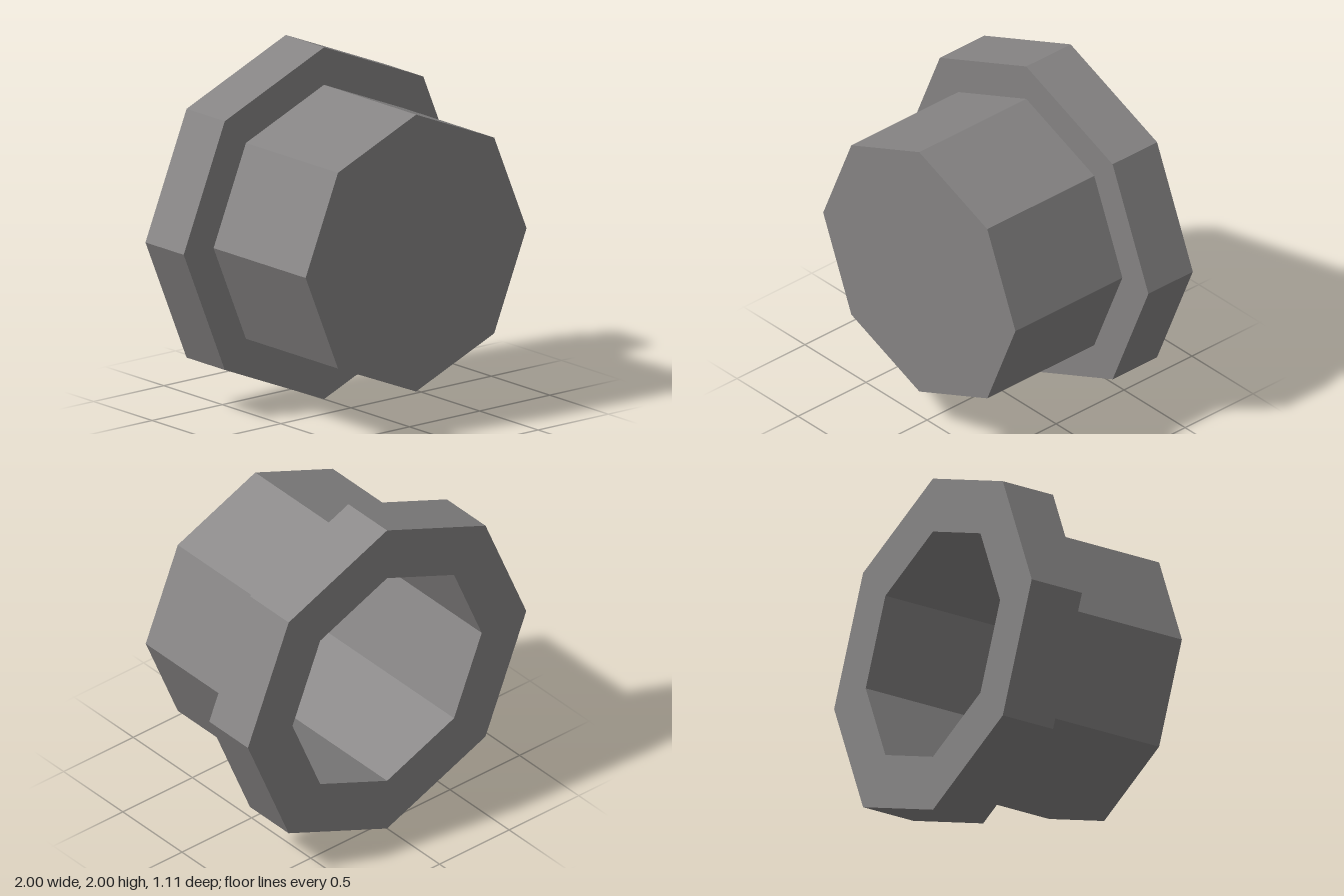
import * as THREE from 'three';

const SIDES = 8;
const CENTER_Y = 1;

// Corner points of a regular octagon with a corner pointing up
function octagon(radius) {
  return Array.from({ length: SIDES }, (_, i) => {
    const a = (i / SIDES) * Math.PI * 2;
    return new THREE.Vector2(Math.cos(a) * radius, Math.sin(a) * radius);
  });
}

// Octagonal prism from zBack to zFront, bored through when a hole radius is given
function prism(name, radius, holeRadius, zBack, zFront, material) {
  const shape = new THREE.Shape(octagon(radius));
  if (holeRadius > 0) shape.holes.push(new THREE.Path(octagon(holeRadius).reverse()));
  const geometry = new THREE.ExtrudeGeometry(shape, { depth: zFront - zBack, bevelEnabled: false });
  geometry.translate(0, CENTER_Y, zBack);
  const mesh = new THREE.Mesh(geometry, material);
  mesh.name = name;
  return mesh;
}

export function createModel() {
  const metal = new THREE.MeshStandardMaterial({ color: 0x858383 });
  metal.name = 'grey metal';

  const group = new THREE.Group();
  group.name = 'flangedCap';
  group.add(
    // Wide rim around the open back
    prism('flange', 1, 0.68, -0.557, -0.23, metal),
    // Hollow body
    prism('sleeve', 0.787, 0.68, -0.23, 0.552, metal),
    // Thin plate closing the front
    prism('frontPlate', 0.787, 0, 0.552, 0.557, metal)
  );
  return group;
}
